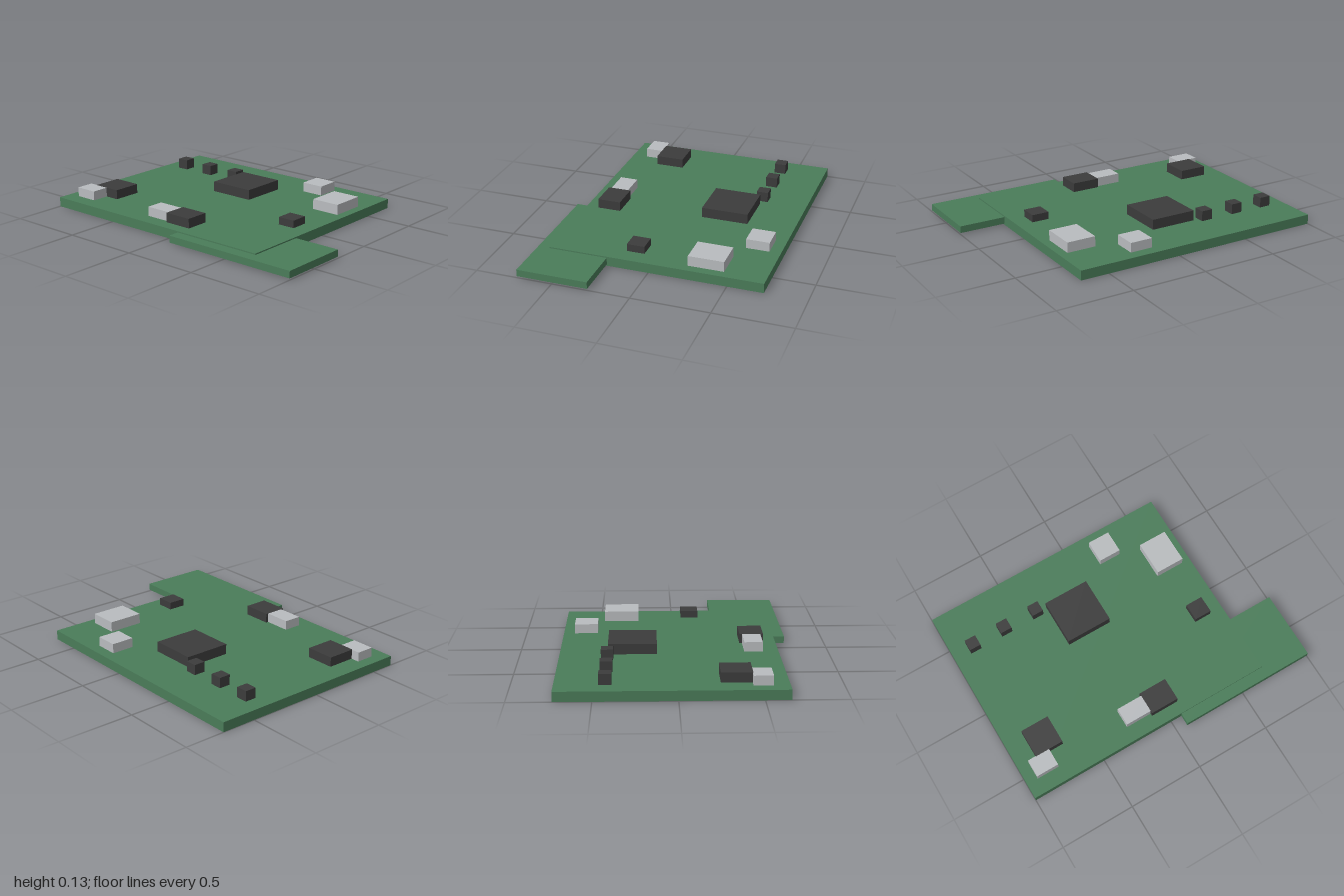
import * as THREE from 'three';

export function createModel() {
  const group = new THREE.Group();
  group.name = 'circuitBoard';

  const mat = (name, color) => {
    const m = new THREE.MeshStandardMaterial({ color });
    m.name = name;
    return m;
  };
  const green = mat('boardGreen', 0x4a7c59);
  const dark = mat('chipBlack', 0x3c3c3c);
  const silver = mat('connectorSilver', 0xb9bcbf);

  // Box given by its limits on each axis
  const block = (name, material, [x0, x1], [y0, y1], [z0, z1]) => {
    const mesh = new THREE.Mesh(new THREE.BoxGeometry(x1 - x0, y1 - y0, z1 - z0), material);
    mesh.position.set((x0 + x1) / 2, (y0 + y1) / 2, (z0 + z1) / 2);
    mesh.name = name;
    group.add(mesh);
  };

  // Boards: main plate and the thinner one sliding out at the front left
  block('mainBoard', green, [-1, 0.69], [0, 0.063], [-0.73, 0.655]);
  block('sideBoard', green, [0.075, 1], [0.01, 0.055], [0.27, 0.73]);

  // Chips
  block('processor', dark, [-0.31, -0.002], [0.06, 0.13], [-0.425, -0.117]);
  block('frontRightChip', dark, [-0.868, -0.678], [0.06, 0.125], [0.25, 0.44]);
  block('frontChip', dark, [-0.097, 0.092], [0.06, 0.125], [0.42, 0.573]);
  block('sideChip', dark, [0.48, 0.595], [0.072, 0.12], [0.058, 0.173]);

  // Row of small components along the back
  for (const x of [-0.851, -0.621, -0.386]) {
    block('smallComponent', dark, [x - 0.038, x + 0.038], [0.06, 0.13], [-0.466, -0.39]);
  }

  // Metal connectors
  block('backConnector', silver, [0.155, 0.305], [0.06, 0.125], [-0.657, -0.505]);
  block('sideConnector', silver, [0.44, 0.632], [0.06, 0.13], [-0.465, -0.235]);
  block('frontRightConnector', silver, [-0.925, -0.775], [0.06, 0.124], [0.437, 0.555]);
  block('frontConnector', silver, [-0.272, -0.05], [0.06, 0.124], [0.437, 0.555]);

  return group;
}
